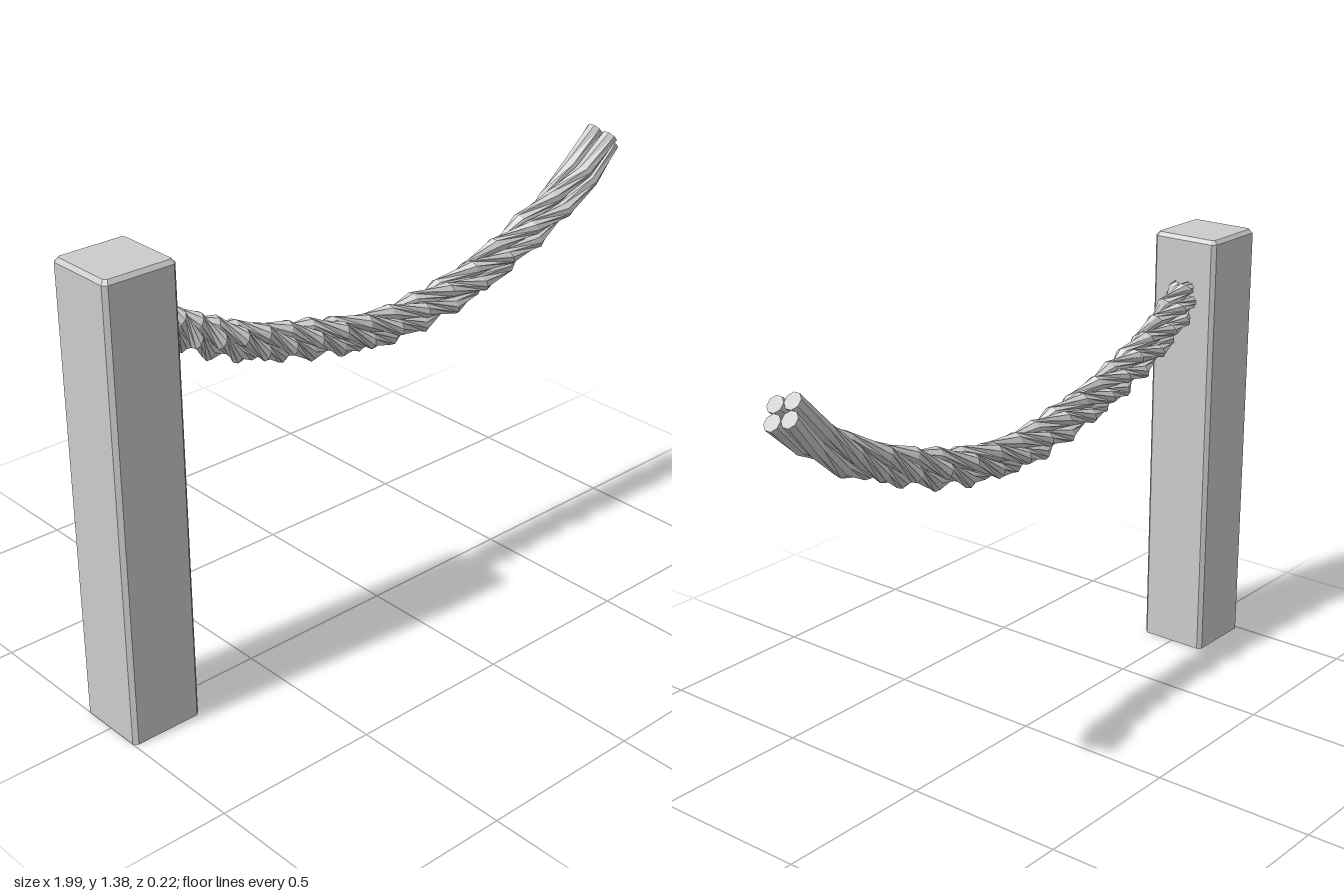
import * as THREE from 'three';

const material = new THREE.MeshStandardMaterial({ color: 0xcccccc, flatShading: true, side: THREE.DoubleSide });

// Skins a row of equal rings (each counter-clockwise about the row's direction) and caps the ends
function loft(rings, capStart, capEnd) {
  const n = rings[0].length;
  const points = rings.flat();
  const index = [];
  for (let i = 0; i < rings.length - 1; i++) {
    for (let j = 0; j < n; j++) {
      const a = i * n + j, b = i * n + (j + 1) % n;
      index.push(a, b, b + n, a, b + n, a + n);
    }
  }
  const last = (rings.length - 1) * n;
  for (let j = 1; j < n - 1; j++) {
    if (capStart) index.push(0, j + 1, j);
    if (capEnd) index.push(last, last + j, last + j + 1);
  }
  const geometry = new THREE.BufferGeometry().setFromPoints(points);
  geometry.setIndex(index);
  geometry.computeVertexNormals();
  return geometry;
}

// Square ring with chamfered corners, lying flat at height y
function postRing(half, chamfer, y) {
  const h = half, k = half - chamfer;
  return [[-k, h], [k, h], [h, k], [h, -k], [k, -h], [-k, -h], [-h, -k], [-h, k]]
    .map(([x, z]) => new THREE.Vector3(x, y, z));
}

// Centre line of the hanging rope
const ropePath = new THREE.CatmullRomCurve3([
  [-0.84, 1.235], [-0.775, 1.175], [-0.6, 1.065], [-0.4, 0.99], [-0.2, 0.94], [0, 0.905],
  [0.2, 0.913], [0.4, 0.955], [0.6, 1.03], [0.8, 1.13], [0.948, 1.265],
].map(([x, y]) => new THREE.Vector3(x, y, 0)));

// One strand: an eight-sided tube winding around the centre line
function strandGeometry(phase) {
  const steps = 19, sides = 8, offset = 0.037, radius = 0.026;
  const rings = [];
  let twist = phase;
  for (let i = 0; i <= steps; i++) {
    const u = i / steps;
    const s = 0.65 * u + 0.35 * u * u; // sections grow longer toward the free end
    const centre = ropePath.getPointAt(s);
    const t = ropePath.getTangentAt(s);
    const up = new THREE.Vector3(-t.y, t.x, 0);
    const side = new THREE.Vector3(0, 0, 1);
    const ring = [];
    for (let j = 0; j < sides; j++) {
      const a = twist + (j / sides) * Math.PI * 2;
      ring.push(centre.clone()
        .addScaledVector(up, offset * Math.cos(twist) + radius * Math.cos(a))
        .addScaledVector(side, offset * Math.sin(twist) + radius * Math.sin(a)));
    }
    rings.push(ring);
    // the twist relaxes over the last sections
    twist += THREE.MathUtils.degToRad(Math.min(65, 18 + 18 * (steps - 1 - i)));
  }
  return loft(rings, true, true);
}

export function createModel() {
  const model = new THREE.Group();

  // Bevelled post, open underneath
  const post = new THREE.Mesh(loft([
    postRing(0.1125, 0.012, 0),
    postRing(0.1125, 0.012, 1.363),
    postRing(0.1025, 0.008, 1.375),
  ], false, true), material);
  post.name = 'post';
  post.position.x = -0.8875;
  model.add(post);

  // Rope of four twisted strands
  const rope = new THREE.Group();
  rope.name = 'rope';
  for (let k = 0; k < 4; k++) {
    const strand = new THREE.Mesh(strandGeometry(k * Math.PI / 2), material);
    strand.name = 'ropeStrand' + (k + 1);
    rope.add(strand);
  }
  model.add(rope);
  return model;
}
